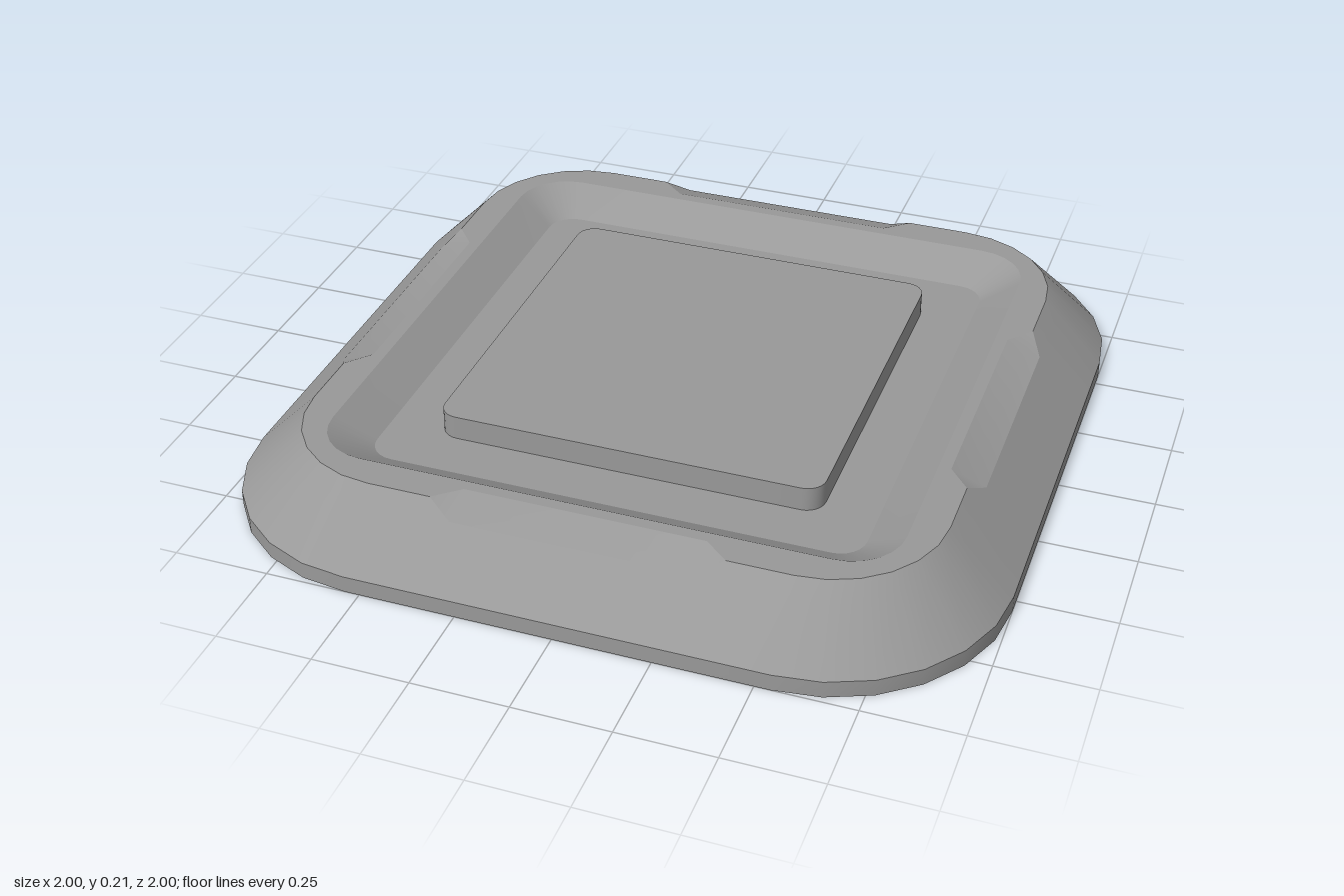
import * as THREE from 'three';
import { toCreasedNormals } from 'three/addons/utils/BufferGeometryUtils.js';

const NOTCH = [-0.375, -0.31, 0.31, 0.375]; // ends and shoulders of each side notch
const STEPS = 6; // segments per rounded corner
const SIDE = NOTCH.length + STEPS + 1;

// Rounded-square ring: one side plus its corner, turned four times.
function ring({ half, r, y, dip = 0 }) {
  const side = NOTCH.map((x, k) => [x, k === 1 || k === 2 ? y - dip : y, half]);
  for (let k = 0; k <= STEPS; k++) {
    const a = (k / STEPS) * Math.PI / 2;
    side.push([half - r + r * Math.sin(a), y, half - r + r * Math.cos(a)]);
  }
  const turns = [
    ([x, h, z]) => [x, h, z],
    ([x, h, z]) => [z, h, -x],
    ([x, h, z]) => [-x, h, -z],
    ([x, h, z]) => [-z, h, x],
  ];
  return turns.flatMap((turn) => side.map(turn));
}

// Joins rings from bottom to top and closes both ends.
function loft(profile) {
  const n = SIDE * 4, last = profile.length - 1;
  const positions = profile.map(ring).flat(2);
  const index = [];
  const dipRing = profile.findIndex((p) => p.dip);
  for (let i = 0; i < last; i++) {
    for (let j = 0; j < n; j++) {
      const k = (j + 1) % n;
      const a = i * n + j, b = i * n + k, c = b + n, d = a + n;
      const local = j % SIDE;
      // diagonals follow the slanted ends of the notches
      const flip = dipRing > 0 &&
        ((local === 0 && i === dipRing - 1) || (local === 2 && i === dipRing));
      if (flip) index.push(a, b, d, b, c, d);
      else index.push(a, b, c, a, c, d);
    }
  }
  const low = positions.length / 3, high = low + 1;
  positions.push(0, profile[0].y, 0, 0, profile[last].y, 0);
  for (let j = 0; j < n; j++) {
    const k = (j + 1) % n;
    index.push(low, k, j, high, last * n + j, last * n + k);
  }
  const geometry = new THREE.BufferGeometry();
  geometry.setAttribute('position', new THREE.Float32BufferAttribute(positions, 3));
  geometry.setIndex(index);
  return toCreasedNormals(geometry, 0.33);
}

export function createModel() {
  const group = new THREE.Group();
  const material = new THREE.MeshStandardMaterial({ color: 0x999999 });
  const add = (name, profile) => {
    const mesh = new THREE.Mesh(loft(profile), material);
    mesh.name = name;
    group.add(mesh);
  };

  // Bevelled tray with a notch in the rim of each side and a sunken floor
  add('base', [
    { half: 1, r: 0.46, y: 0 },
    { half: 1, r: 0.46, y: 0.045 },
    { half: 0.87, r: 0.33, y: 0.175 },
    { half: 0.835, r: 0.295, y: 0.21, dip: 0.0214 },
    { half: 0.78, r: 0.2, y: 0.21 },
    { half: 0.748, r: 0.14, y: 0.21 },
    { half: 0.645, r: 0.07, y: 0.145 },
  ]);

  // Raised square plate in the middle of the floor
  add('centrePlate', [
    { half: 0.507, r: 0.05, y: 0.14 },
    { half: 0.507, r: 0.05, y: 0.21 },
  ]);
  return group;
}
